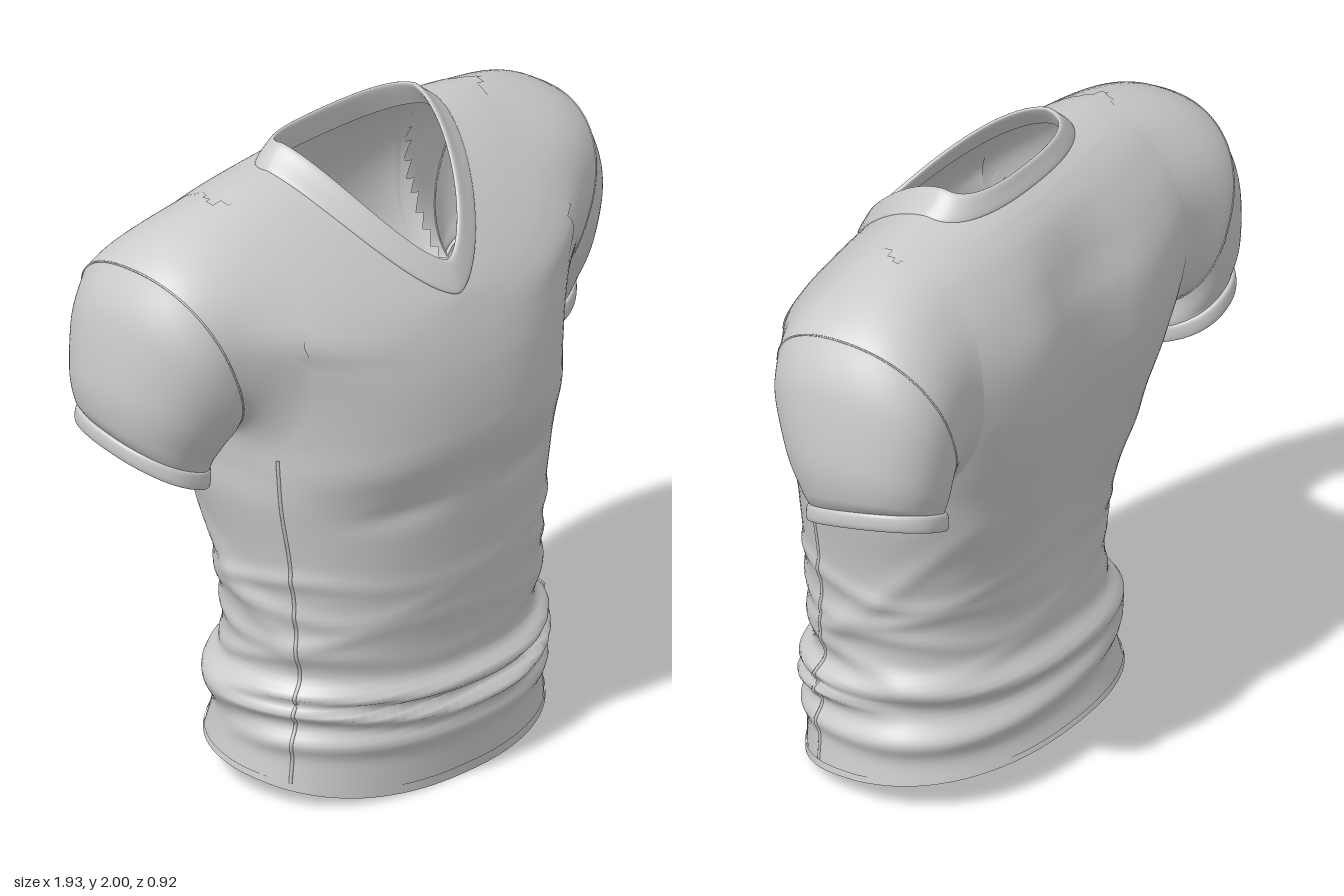
import * as THREE from 'three';

const fabric = new THREE.MeshStandardMaterial({ color: 0xcccccc, side: THREE.DoubleSide });
fabric.name = 'light grey fabric';

const SEG = 96;
const gauss = (d, w) => Math.exp(-(d * d) / (w * w));
const spow = (v, p) => Math.sign(v) * Math.pow(Math.abs(v), p);

// Catmull-Rom blend of every column of a table of cross-sections
function sample(table, v) {
  const last = table.length - 1;
  const i = Math.min(Math.floor(v), last - 1), f = v - i;
  const row = k => table[Math.max(0, Math.min(last, k))];
  return row(i).map((b, c) => {
    const a = row(i - 1)[c], d = row(i + 1)[c], e = row(i + 2)[c];
    return b + 0.5 * f * (d - a + f * (2 * a - 5 * b + 4 * d - e + f * (3 * (b - d) + e - a)));
  });
}

// Closed rings of points joined into a smooth skin; skip() leaves holes
function loft(name, pointAt, v0, v1, rows, flip = false, skip = () => false) {
  const pos = [], idx = [], pts = [];
  for (let r = 0; r <= rows; r++) {
    for (let s = 0; s < SEG; s++) {
      const p = pointAt(v0 + (v1 - v0) * r / rows, s / SEG * Math.PI * 2);
      pts.push(p);
      pos.push(p.x, p.y, p.z);
    }
  }
  for (let r = 0; r < rows; r++) {
    for (let s = 0; s < SEG; s++) {
      const n = (s + 1) % SEG;
      const a = r * SEG + s, b = r * SEG + n, c = a + SEG, d = b + SEG;
      if (skip(pts[a]) && skip(pts[d])) continue;
      if (flip) idx.push(a, b, c, b, d, c);
      else idx.push(a, c, b, b, c, d);
    }
  }
  const g = new THREE.BufferGeometry();
  g.setAttribute('position', new THREE.Float32BufferAttribute(pos, 3));
  g.setIndex(idx);
  g.computeVertexNormals();
  return part(name, g);
}

function part(name, geometry) {
  const m = new THREE.Mesh(geometry, fabric);
  m.name = name;
  return m;
}

// Torso sections: y front, y side, y back, half width, z front, z back, z side, front and back roundness
const TORSO = [
  [0.00, 0.07, 0.115, 0.565, 0.40, -0.37, 0.03, 2.3, 2.3],
  [0.20, 0.21, 0.23, 0.545, 0.405, -0.335, 0.03, 2.3, 2.3],
  [0.40, 0.40, 0.42, 0.52, 0.395, -0.315, 0.03, 2.3, 2.3],
  [0.60, 0.60, 0.60, 0.532, 0.41, -0.31, 0.03, 2.4, 2.3],
  [0.80, 0.80, 0.80, 0.56, 0.42, -0.345, 0.02, 2.4, 2.4],
  [0.98, 0.98, 0.98, 0.60, 0.432, -0.395, 0.00, 2.4, 2.5],
  [1.10, 1.10, 1.10, 0.61, 0.462, -0.425, -0.03, 2.5, 2.6],
  [1.21, 1.22, 1.22, 0.63, 0.462, -0.45, -0.07, 2.5, 2.8],
  [1.33, 1.41, 1.40, 0.68, 0.447, -0.47, -0.12, 2.5, 3.0],
  [1.42, 1.59, 1.57, 0.75, 0.425, -0.455, -0.13, 2.4, 3.1],
  [1.48, 1.76, 1.71, 0.82, 0.405, -0.395, -0.13, 2.25, 3.0],
  [1.52, 1.875, 1.82, 0.70, 0.39, -0.325, -0.12, 2.1, 2.6],
  [1.55, 1.92, 1.885, 0.52, 0.378, -0.265, -0.10, 1.85, 2.5],
  [1.57, 1.94, 1.92, 0.35, 0.368, -0.22, -0.08, 1.55, 2.5],
];

// Collar sections, from the outer seam over the rim and down inside
const COLLAR = [
  [1.565, 1.935, 1.915, 0.353, 0.370, -0.222, -0.08, 1.55, 2.5],
  [1.575, 1.945, 1.925, 0.35, 0.375, -0.224, -0.08, 1.55, 2.5],
  [1.62, 1.975, 1.955, 0.315, 0.357, -0.211, -0.09, 1.55, 2.6],
  [1.66, 2.00, 1.98, 0.285, 0.335, -0.20, -0.09, 1.55, 2.6],
  [1.655, 1.99, 1.97, 0.277, 0.322, -0.19, -0.09, 1.55, 2.6],
  [1.60, 1.92, 1.89, 0.325, 0.345, -0.20, -0.08, 1.55, 2.6],
];

function sectionPoint(table, v, t) {
  const [yf, ys, yb, w, zf, zb, zc, nf, nb] = sample(table, v);
  const c = Math.cos(t), s = Math.sin(t), front = s >= 0;
  const p = 2 / (front ? nf : nb), k = Math.abs(spow(s, p));
  const drop = front ? (yf - ys) * Math.pow(k, 1.6) : (yb - ys) * k;
  return new THREE.Vector3(w * spow(c, p), ys + drop, zc + ((front ? zf : zb) - zc) * k);
}

// Bunched cloth around the waist
function folds(y, t) {
  const s = Math.sin(t), c = Math.cos(t);
  const front = THREE.MathUtils.smoothstep(s, -0.35, 0.3), back = 1 - front;
  const sag = 0.06 * c * c + 0.012 * Math.sin(3 * t + 1);
  let d = front * (0.042 * gauss(y - 0.322 - sag * 0.6, 0.03) + 0.04 * gauss(y - 0.25 - sag, 0.026)
    + 0.022 * gauss(y - 0.175 - sag * 0.5, 0.032) - 0.02 * gauss(y - 0.285 - sag * 0.8, 0.013));
  d += back * (0.042 * gauss(y - 0.36 - 0.03 * c, 0.04) + 0.035 * gauss(y - 0.255 + 0.03 * c, 0.045));
  for (let i = 0; i < 4; i++) {
    const yc = 0.45 + i * 0.085 + 0.03 * Math.sin(3 * t + i * 2);
    d += 0.012 * (0.25 + 0.75 * c * c) * gauss(y - yc, 0.026);
  }
  // long drape running from the front of the waist up to the back of the armpit
  const drape = 0.5 + 0.45 * THREE.MathUtils.clamp(0.3 - s, 0, 1);
  return d + 0.012 * c * c * gauss(y - drape, 0.06);
}

function torsoPoint(v, t, puff = 0) {
  const p = sectionPoint(TORSO, v, t), s = Math.sin(t);
  const d = folds(p.y, t) + puff;
  p.x += d * Math.cos(t);
  p.z += d * s;
  if (s < 0) { // hollow of the spine
    const fade = THREE.MathUtils.smoothstep(p.y, 0.4, 1.2) * (1 - THREE.MathUtils.smoothstep(p.y, 1.6, 1.9));
    p.z += 0.06 * fade * gauss(p.x, 0.17);
  } else { // hollow below the chest
    p.z -= 0.012 * gauss(Math.abs(p.x) - 0.25, 0.16) * gauss(p.y - 0.94, 0.04);
  }
  return p;
}

// Sleeve sections from the armhole seam outwards: outer x, y, inner x, y, z front, z back
const SLEEVE = [
  [0.872, 1.78, 0.617, 1.19, 0.175, -0.425],
  [0.938, 1.64, 0.612, 1.17, 0.155, -0.42],
  [0.963, 1.42, 0.608, 1.15, 0.10, -0.405],
  [0.948, 1.29, 0.608, 1.125, 0.05, -0.39],
  [0.918, 1.235, 0.615, 1.10, 0.03, -0.385],
];
const CUFF = [
  [0.905, 1.235, 0.625, 1.115, 0.02, -0.375],
  [0.928, 1.238, 0.612, 1.11, 0.038, -0.395],
  [0.932, 1.205, 0.612, 1.085, 0.042, -0.402],
  [0.925, 1.185, 0.618, 1.06, 0.04, -0.40],
  [0.912, 1.188, 0.630, 1.065, 0.03, -0.388],
  [0.900, 1.23, 0.635, 1.10, 0.015, -0.37],
];

function sleevePoint(table, v, t) {
  const [ox, oy, ix, iy, zf, zb] = sample(table, v);
  const c = spow(Math.cos(t), 0.88), s = spow(Math.sin(t), 0.88);
  // the opening rises towards the back
  const lift = table === CUFF ? 1 : THREE.MathUtils.smoothstep(v, 1, 4);
  return new THREE.Vector3((ox + ix) / 2 + (ox - ix) / 2 * c,
    (oy + iy) / 2 + (oy - iy) / 2 * c - 0.045 * s * lift, (zf + zb) / 2 + (zf - zb) / 2 * s);
}

// Outline on the torso where the cloth starts to run out to the sleeve
const ROOT = { x: 0.5425, y: 1.515, z: -0.065, dx: -0.0425, dy: 0.415, dz: 0.395 };

function inArmhole(p) {
  const a = (p.y - ROOT.y) / ROOT.dy, b = (p.z - ROOT.z) / ROOT.dz;
  return Math.abs(p.x) > ROOT.x + ROOT.dx * a + 0.015 && Math.abs(a) ** 2.27 + Math.abs(b) ** 2.27 < 0.9;
}

// Root outline laid onto the torso, with the torso normal at each point
function shoulderRoot() {
  let root = [];
  for (let i = 0; i < SEG; i++) {
    const t = i / SEG * Math.PI * 2, c = spow(Math.cos(t), 0.88), s = spow(Math.sin(t), 0.88);
    const aim = new THREE.Vector3(ROOT.x + ROOT.dx * c, ROOT.y + ROOT.dy * c, ROOT.z + ROOT.dz * s);
    let best = { d: Infinity };
    for (let v = 5; v <= 13; v += 0.08) {
      for (let u = -1.5; u <= 1.5; u += 0.03) {
        const p = torsoPoint(v, u), d = p.distanceToSquared(aim);
        if (d < best.d) best = { d, p, u, v };
      }
    }
    const along = torsoPoint(best.v, best.u + 0.02).sub(torsoPoint(best.v, best.u - 0.02));
    const up = torsoPoint(Math.min(13, best.v + 0.05), best.u).sub(torsoPoint(best.v - 0.05, best.u));
    root.push({ p: best.p, n: up.cross(along).normalize() });
  }
  for (let pass = 0; pass < 4; pass++) {
    root = root.map((o, i) => {
      const a = root[(i + SEG - 1) % SEG], b = root[(i + 1) % SEG];
      const mix = k => o[k].clone().multiplyScalar(2).add(a[k]).add(b[k]).multiplyScalar(0.25);
      return { p: mix('p'), n: mix('n').normalize() };
    });
  }
  return root;
}

// Cloth between torso and armhole seam, leaving the torso along its surface
function shoulderPoint(root, u, t) {
  const { p, n } = root[Math.round(t / (Math.PI * 2) * SEG) % SEG];
  const end = sleevePoint(SLEEVE, 0, t), d = end.clone().sub(p), len = d.length();
  const m0 = d.clone().addScaledVector(n, -n.dot(d));
  const m1 = sleevePoint(SLEEVE, 0.2, t).sub(end).normalize().multiplyScalar(len * 0.5).addScaledVector(d, 0.5);
  const u2 = u * u, u3 = u2 * u;
  return p.clone().multiplyScalar(2 * u3 - 3 * u2 + 1).addScaledVector(m0, u3 - 2 * u2 + u)
    .addScaledVector(end, 3 * u2 - 2 * u3).addScaledVector(m1, u3 - u2);
}

function seam(name, points, radius, closed) {
  const curve = new THREE.CatmullRomCurve3(points, closed);
  return part(name, new THREE.TubeGeometry(curve, 120, radius, 5, closed));
}

export function createModel() {
  const shirt = new THREE.Group();
  shirt.name = 'shirt';

  shirt.add(loft('torso', torsoPoint, 0, TORSO.length - 1, 156, false, inArmhole));
  shirt.add(loft('hemBand', (v, t) => torsoPoint(v, t, 0.004), 0, 0.22, 4));
  shirt.add(loft('collar', (v, t) => sectionPoint(COLLAR, v, t), 0, COLLAR.length - 1, 25));

  const root = shoulderRoot();
  for (const side of [1, -1]) {
    const word = side > 0 ? 'left' : 'right';
    const mirror = p => p.setX(p.x * side);
    const sleeve = (v, t) => mirror(sleevePoint(SLEEVE, v, t));
    shirt.add(loft(word + 'Shoulder', (u, t) => mirror(shoulderPoint(root, u, t)), 0, 1, 16, side > 0));
    shirt.add(loft(word + 'Sleeve', sleeve, 0, SLEEVE.length - 1, 32, side > 0));
    shirt.add(loft(word + 'Cuff', (v, t) => mirror(sleevePoint(CUFF, v, t)), 0, CUFF.length - 1, 20, side > 0));

    const ring = [];
    for (let i = 0; i < 40; i++) ring.push(sleeve(0, i / 40 * Math.PI * 2));
    shirt.add(seam(word + 'ArmholeSeam', ring, 0.003, true));

    // side seam along the front edge of the flank
    const line = [];
    for (let v = 0.2; v < 6.6; v += 0.08) {
      const [, , , , zf, , zc, nf] = sample(TORSO, v);
      const t = Math.asin(Math.pow((0.19 - zc) / (zf - zc), nf / 2));
      line.push(torsoPoint(v, side > 0 ? t : Math.PI - t));
    }
    shirt.add(seam(word + 'SideSeam', line, 0.006, false));
  }
  return shirt;
}
